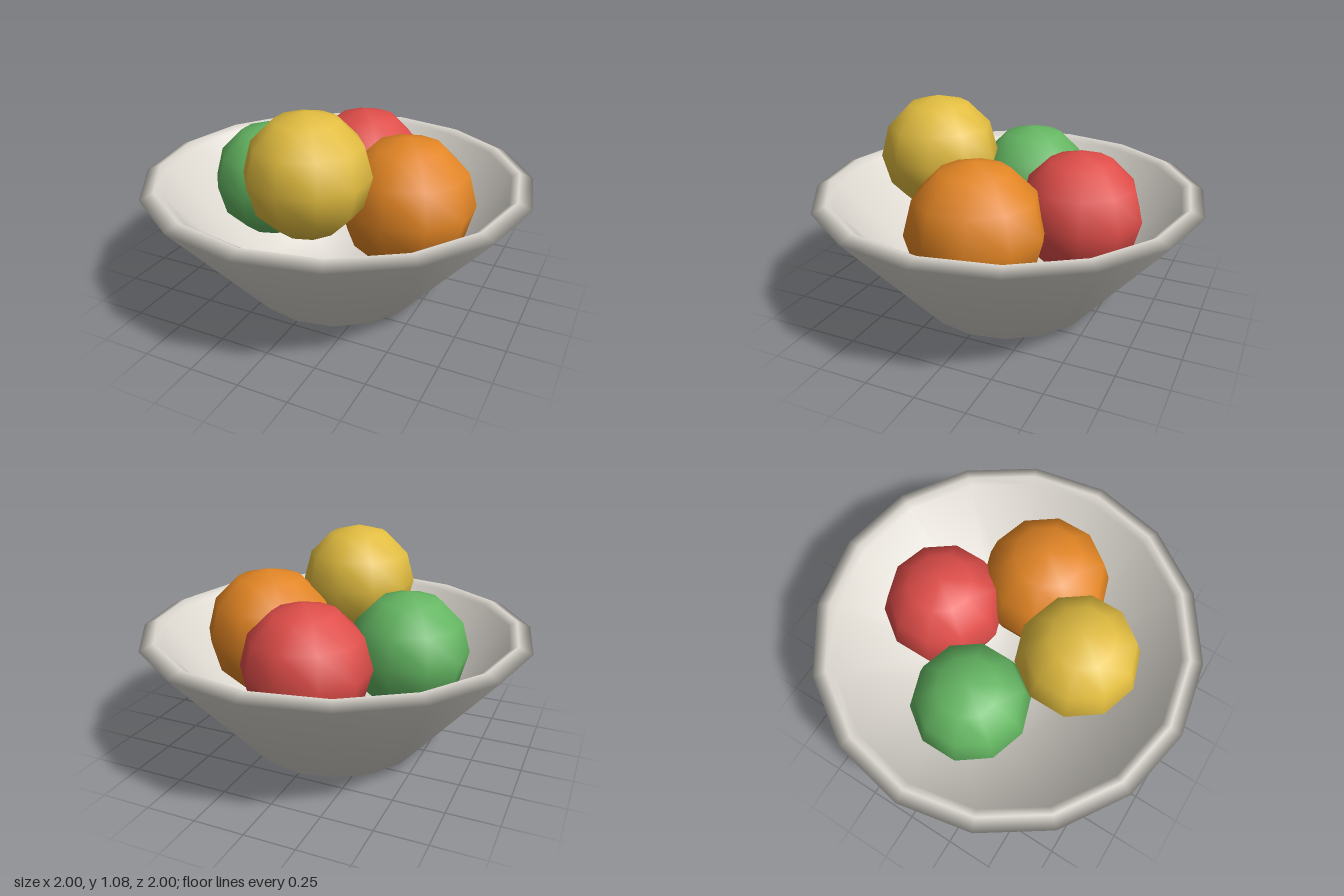
import * as THREE from 'three';

const mat = (name, color) => {
  const m = new THREE.MeshStandardMaterial({ color });
  m.name = name;
  return m;
};

export function createModel() {
  const group = new THREE.Group();
  group.name = 'fruitBowl';

  // Bowl: closed wall profile turned with 16 sides, smooth normals
  const profile = [
    [0, 0], [0.465, 0], [1, 0.62], [0.93, 0.65], [0.89, 0.625], [0.42, 0.05], [0, 0.05],
  ].map(([r, y]) => new THREE.Vector2(r, y));
  const bowl = new THREE.Mesh(new THREE.LatheGeometry(profile, 16), mat('stoneware', 0xdcd8d0));
  bowl.name = 'bowl';
  group.add(bowl);

  // Fruits: low-poly smooth balls, corners pointing along z
  const fruits = [
    ['orangeFruit', 0xe28524, 0.345, [0.385, 0.54, 0]],
    ['greenFruit', 0x64b662, 0.307, [-0.385, 0.54, 0.02]],
    ['redFruit', 0xdf4d49, 0.32, [-0.01, 0.54, -0.385]],
    ['yellowFruit', 0xe2bd40, 0.305, [0.03, 0.77, 0.38]],
  ];
  for (const [name, color, radius, position] of fruits) {
    const fruit = new THREE.Mesh(new THREE.SphereGeometry(radius, 10, 6), mat(name + 'Skin', color));
    fruit.name = name;
    fruit.position.set(...position);
    fruit.rotation.y = Math.PI / 2;
    group.add(fruit);
  }
  return group;
}
